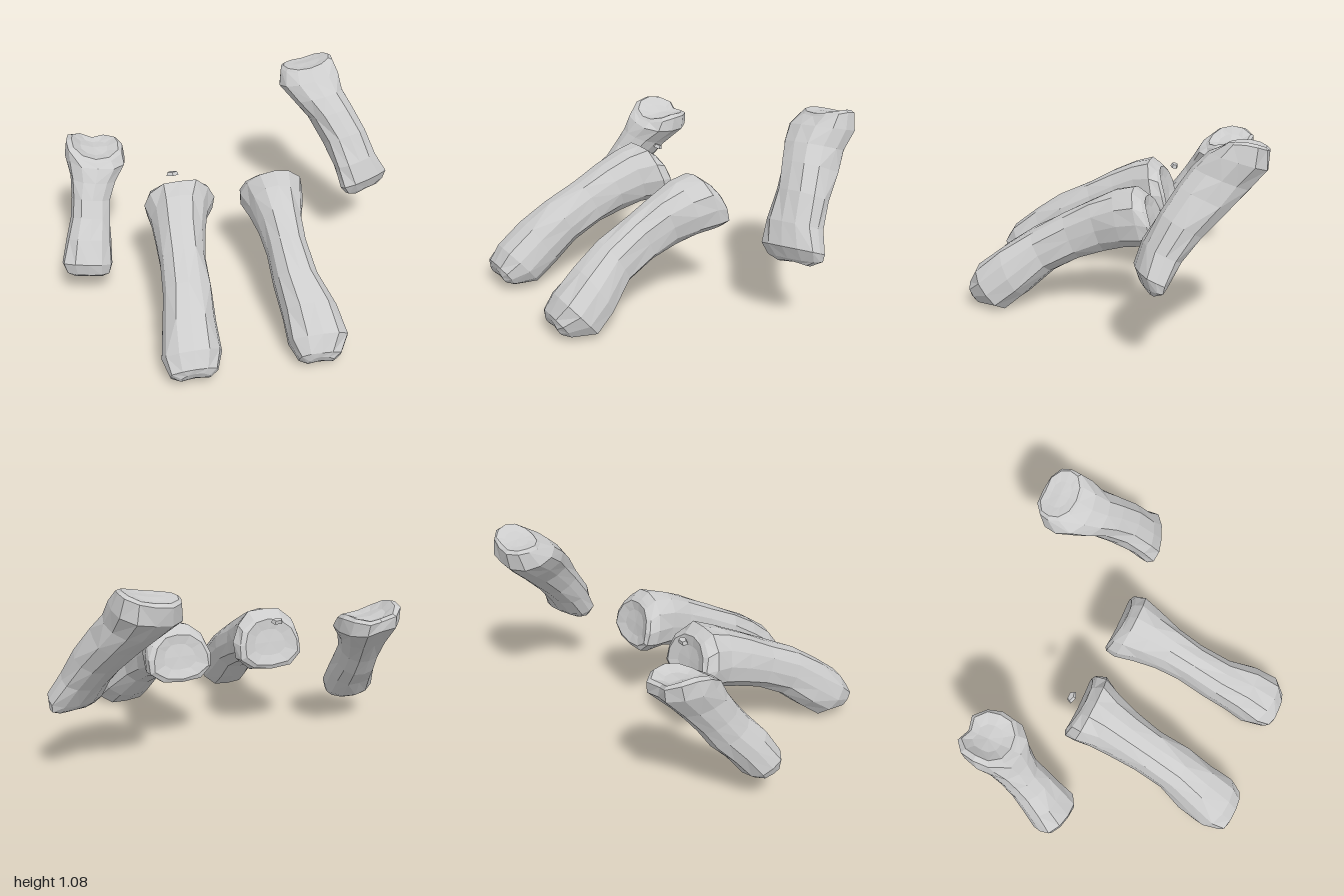
import * as THREE from 'three';

const SIDES = 12;

// Small seeded generator for the chiselled, uneven facets
function seeded(seed) {
  let s = seed;
  return () => (s = (s * 16807) % 2147483647) / 2147483647;
}

// Lofts a bone from its socket end to its knuckle end.
// Each section is [centreX, halfWidth, upperY, upperZ, lowerY, lowerZ].
function boneGeometry({ sections, sideStart, sideEnd, fork, notch, egg, cup, seed }) {
  const rand = seeded(seed);
  const frames = sections.map(([x, w, uy, uz, ly, lz], i) => {
    const t = i / (sections.length - 1);
    const centre = new THREE.Vector3(x, (uy + ly) / 2, (uz + lz) / 2);
    const up = new THREE.Vector3(0, (uy - ly) / 2, (uz - lz) / 2);
    const side = new THREE.Vector3(...sideStart).lerp(new THREE.Vector3(...sideEnd), t).multiplyScalar(w);
    const axis = new THREE.Vector3().crossVectors(side, up).normalize();
    return { centre, up, side, axis, t };
  });

  const ring = (f, scale, shift, saddle, wobble) => {
    const pts = [];
    for (let j = 0; j < SIDES; j++) {
      const a = (j / SIDES) * Math.PI * 2;
      const c = Math.cos(a), s = Math.sin(a);
      const k = scale * (1 + (rand() - 0.5) * wobble);
      const sq = 1 + 0.07 * Math.sin(2 * a) ** 2;
      const width = c * k * sq * (1 - egg * (1 - f.t) * s);
      const dent = s < -0.95 ? 1 - notch * Math.max(0, 1 - 3 * f.t) : 1;
      pts.push(f.centre.clone()
        .addScaledVector(f.side, width)
        .addScaledVector(f.up, s * k * sq * dent)
        .addScaledVector(f.axis, shift + saddle * Math.cos(2 * a)));
    }
    return pts;
  };

  const first = frames[0], last = frames[frames.length - 1];
  const rings = [
    ring(first, 0.5, cup, -fork * 0.4, 0.05),        // hollow of the socket
    ring(first, 0.86, -0.006, -fork, 0.05),          // softened socket rim
    ...frames.map((f, i) => ring(f, 1, i === 0 ? 0.008 : 0, i === 0 ? -fork : 0, 0.08)),
    ring(last, 0.62, 0.022, 0.008, 0.05),            // rounded knuckle
  ];

  const pos = [];
  const tri = (...p) => p.forEach((v) => pos.push(v.x, v.y, v.z));
  for (let i = 0; i < rings.length - 1; i++) {
    for (let j = 0; j < SIDES; j++) {
      const n = (j + 1) % SIDES;
      const [a, b, c, d] = [rings[i][j], rings[i][n], rings[i + 1][n], rings[i + 1][j]];
      if (rand() < 0.5) { tri(a, b, c); tri(a, c, d); }
      else { tri(a, b, d); tri(b, c, d); }
    }
  }
  const socket = first.centre.clone().addScaledVector(first.axis, cup * 1.3);
  const knuckle = last.centre.clone().addScaledVector(last.axis, 0.022);
  const end = rings[rings.length - 1];
  for (let j = 0; j < SIDES; j++) {
    const n = (j + 1) % SIDES;
    tri(socket, rings[0][n], rings[0][j]);
    tri(knuckle, end[j], end[n]);
  }
  const g = new THREE.BufferGeometry();
  g.setAttribute('position', new THREE.Float32BufferAttribute(pos, 3));
  g.computeVertexNormals();
  return g;
}

const bones = {
  innerRightBone: {
    sideStart: [1, 0, 0], sideEnd: [1, 0, 0], fork: 0.008, notch: 0, egg: 0.16, cup: 0.01, seed: 11,
    sections: [
      [-0.305, 0.185, 0.695, -0.14, 0.41, -0.22],
      [-0.305, 0.193, 0.725, -0.08, 0.395, -0.16],
      [-0.325, 0.155, 0.695, 0.02, 0.385, -0.06],
      [-0.342, 0.135, 0.63, 0.15, 0.355, 0.06],
      [-0.355, 0.127, 0.55, 0.30, 0.305, 0.20],
      [-0.365, 0.13, 0.455, 0.48, 0.225, 0.36],
      [-0.385, 0.145, 0.355, 0.63, 0.11, 0.49],
      [-0.395, 0.155, 0.245, 0.775, 0.025, 0.60],
      [-0.40, 0.13, 0.16, 0.825, 0.03, 0.74],
    ],
  },
  innerLeftBone: {
    sideStart: [1, 0, 0], sideEnd: [1, -0.05, 0], fork: 0.008, notch: 0, egg: 0.16, cup: 0.01, seed: 29,
    sections: [
      [0.235, 0.178, 0.675, -0.15, 0.41, -0.23],
      [0.235, 0.18, 0.705, -0.09, 0.395, -0.17],
      [0.232, 0.152, 0.675, 0.02, 0.38, -0.06],
      [0.226, 0.122, 0.615, 0.15, 0.345, 0.06],
      [0.225, 0.112, 0.535, 0.30, 0.295, 0.20],
      [0.235, 0.122, 0.435, 0.48, 0.21, 0.36],
      [0.272, 0.152, 0.335, 0.64, 0.08, 0.50],
      [0.288, 0.165, 0.225, 0.775, 0.005, 0.60],
      [0.272, 0.115, 0.14, 0.825, 0.012, 0.74],
    ],
  },
  outerRightBone: {
    sideStart: [1, -0.2, 0], sideEnd: [1, -0.1, 0.1], fork: 0.022, notch: 0.22, egg: -0.05, cup: 0.015, seed: 47,
    sections: [
      [-0.73, 0.155, 0.755, -0.355, 0.775, -0.655],
      [-0.73, 0.165, 0.71, -0.315, 0.69, -0.65],
      [-0.755, 0.125, 0.64, -0.275, 0.58, -0.54],
      [-0.785, 0.108, 0.56, -0.23, 0.46, -0.44],
      [-0.80, 0.11, 0.48, -0.17, 0.36, -0.37],
      [-0.825, 0.122, 0.39, -0.09, 0.27, -0.29],
      [-0.85, 0.14, 0.275, -0.015, 0.17, -0.21],
      [-0.85, 0.125, 0.20, -0.02, 0.155, -0.18],
    ],
  },
  outerLeftBone: {
    sideStart: [1, 0.18, 0], sideEnd: [1, 0.08, -0.4], fork: 0.01, notch: 0.06, egg: 0, cup: 0.002, seed: 83,
    sections: [
      [0.585, 0.155, 1.06, -0.60, 1.04, -0.82],
      [0.59, 0.173, 1.01, -0.52, 0.93, -0.82],
      [0.63, 0.146, 0.94, -0.45, 0.84, -0.73],
      [0.685, 0.13, 0.86, -0.39, 0.75, -0.64],
      [0.75, 0.128, 0.74, -0.315, 0.63, -0.52],
      [0.80, 0.135, 0.60, -0.24, 0.52, -0.43],
      [0.845, 0.152, 0.485, -0.21, 0.42, -0.365],
      [0.86, 0.132, 0.415, -0.24, 0.395, -0.345],
    ],
  },
};

export function createModel() {
  const model = new THREE.Group();
  model.name = 'fingerBones';
  const bone = new THREE.MeshStandardMaterial({ color: 0xcccccc, flatShading: true });
  bone.name = 'paleGrey';

  for (const [name, spec] of Object.entries(bones)) {
    const mesh = new THREE.Mesh(boneGeometry(spec), bone);
    mesh.name = name;
    model.add(mesh);
  }

  // Small loose fragment floating behind the inner right bone
  const chip = new THREE.Mesh(new THREE.CylinderGeometry(0.028, 0.037, 0.02, 5), bone);
  chip.name = 'boneChip';
  chip.scale.z = 0.6;
  chip.rotation.x = -0.3;
  chip.position.set(-0.325, 0.685, -0.222);
  model.add(chip);

  return model;
}
